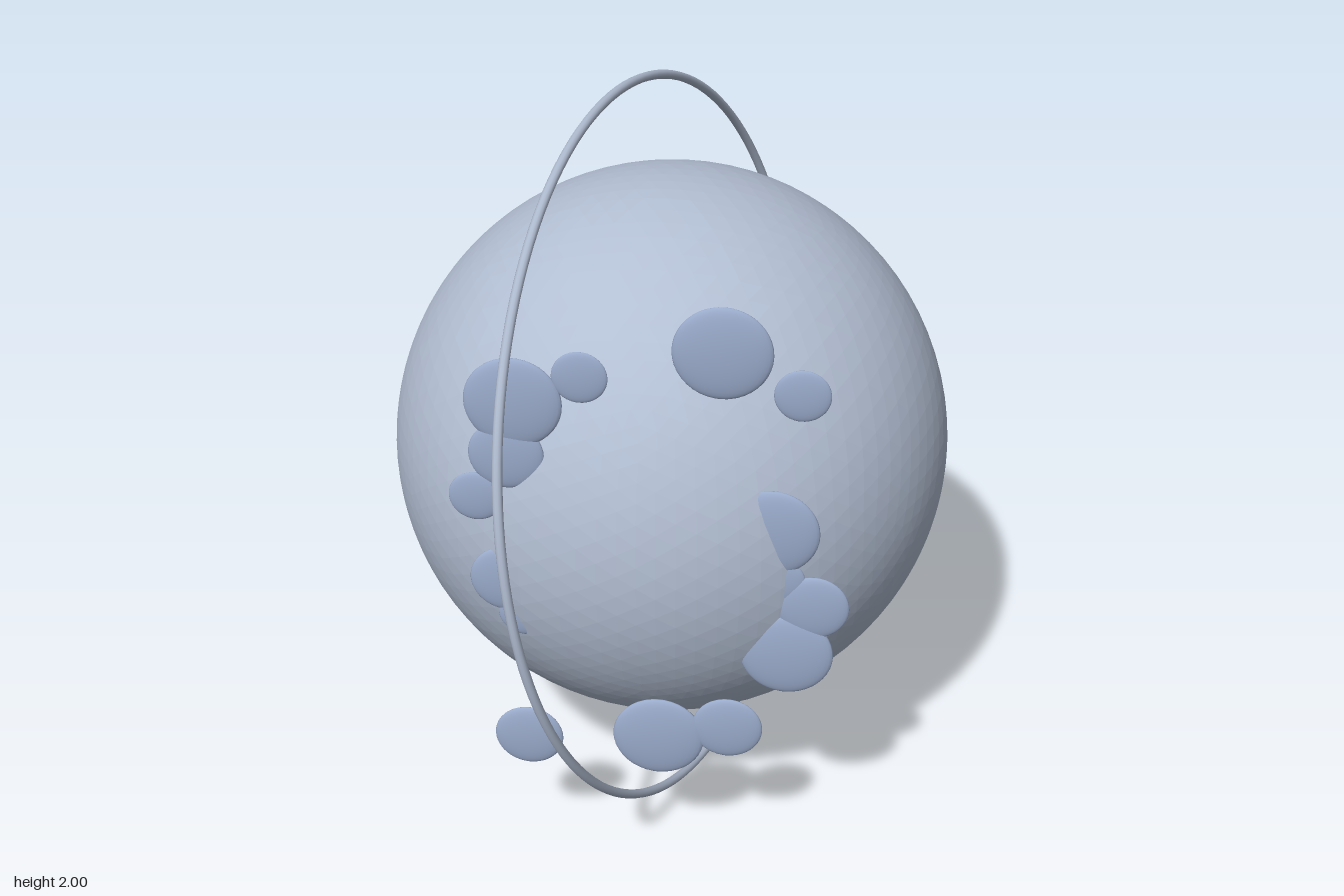
import * as THREE from 'three';

export function createModel() {
  const model = new THREE.Group();
  const mat = (name, color, flatShading = false) => {
    const m = new THREE.MeshStandardMaterial({ color, flatShading });
    m.name = name;
    return m;
  };
  const globeMat = mat('paleBlueGrey', 0xb2bed2, true);
  const discMat = mat('softBlue', 0x9aabcb);
  const ringMat = mat('silverBlue', 0xacb8cc);

  // Faceted globe
  const globe = new THREE.Mesh(new THREE.IcosahedronGeometry(0.768, 15), globeMat);
  globe.name = 'globe';
  globe.position.y = 1.003;
  model.add(globe);

  // Thin tilted orbit ring
  const ring = new THREE.Mesh(new THREE.TorusGeometry(1.001, 0.0125, 12, 128), ringMat);
  ring.name = 'orbitRing';
  ring.position.y = 1;
  const axis = new THREE.Vector3(0.95, 0.163, 0.267).normalize();
  ring.quaternion.setFromUnitVectors(new THREE.Vector3(0, 0, 1), axis);
  model.add(ring);

  // Flattened discs standing in one plane at the front: x, y, radius
  const discs = new THREE.Group();
  discs.name = 'frontDiscs';
  const discGeo = new THREE.SphereGeometry(1, 32, 20);
  [
    [0.20, 1.62, 0.122], [0.393, 1.518, 0.069], [-0.145, 1.534, 0.069],
    [-0.311, 1.454, 0.122], [-0.333, 1.306, 0.095], [-0.415, 1.18, 0.069],
    [-0.346, 0.935, 0.095], [-0.303, 0.834, 0.069], [-0.306, 0.432, 0.092],
    [0.043, 0.461, 0.121], [0.226, 0.506, 0.093], [0.375, 0.76, 0.12],
    [0.438, 0.909, 0.092], [0.348, 0.983, 0.069], [0.327, 1.126, 0.122],
  ].forEach(([x, y, r], i) => {
    const disc = new THREE.Mesh(discGeo, discMat);
    disc.name = `disc${i + 1}`;
    disc.position.set(x, y, 0.663);
    disc.scale.set(r, r, r * 0.17);
    discs.add(disc);
  });
  model.add(discs);

  return model;
}
